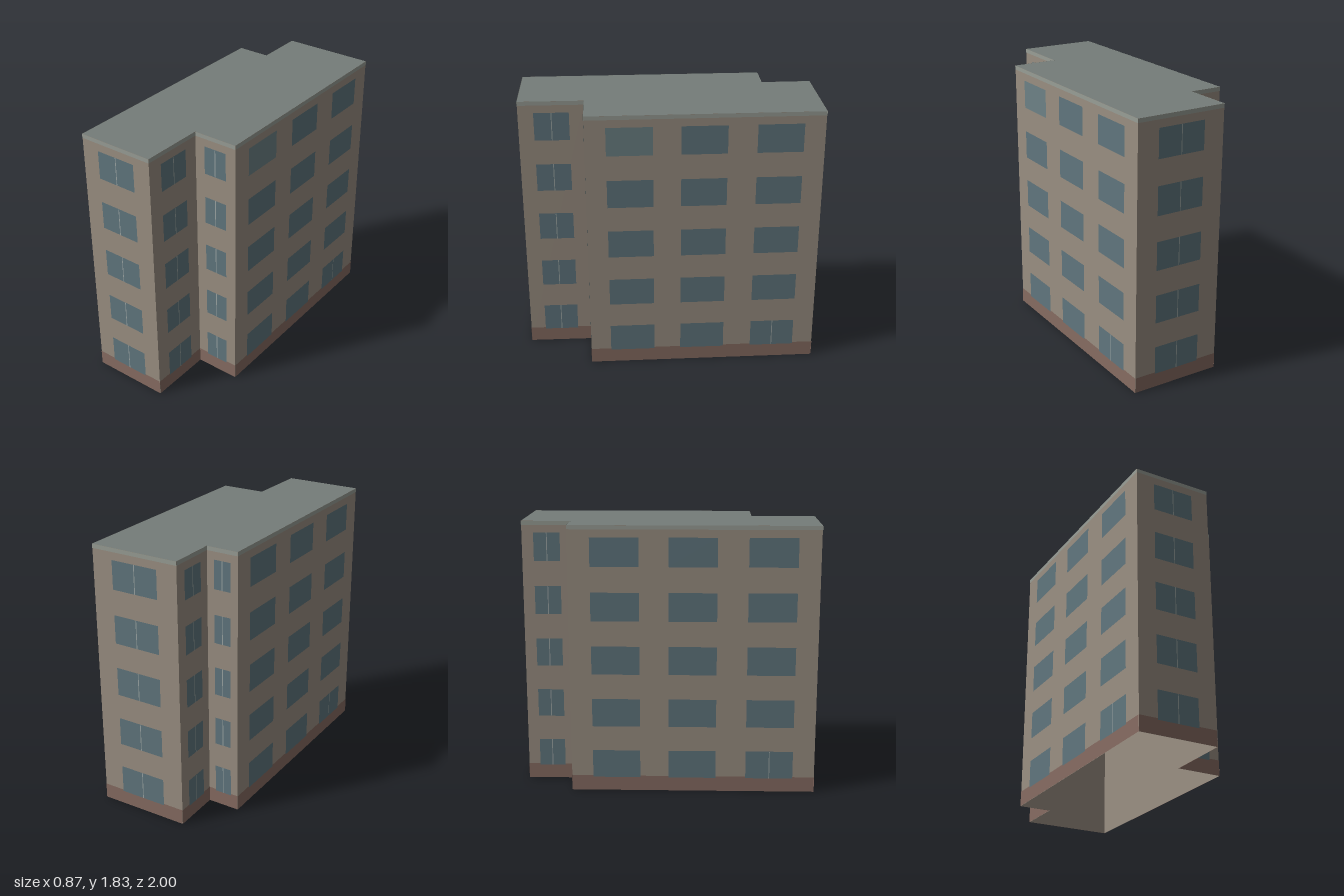
import * as THREE from 'three';

const HEIGHT = 1.83;

// Footprint corners [x, z], walked so that each wall faces outward
const CORNERS = [
  [-0.435, 0.99], [0.103, 1], [0.11, 0.56], [0.42, 0.565],
  [0.433, -0.992], [-0.195, -1], [-0.195, -0.665], [-0.419, -0.67],
];
const WALL_NAMES = [
  'frontWall', 'frontNotchSide', 'frontNotchWall', 'leftLongWall',
  'backWall', 'backNotchSide', 'backNotchWall', 'rightLongWall',
];

const mat = (color) => new THREE.MeshStandardMaterial({ color, side: THREE.DoubleSide });

export function createModel() {
  const building = new THREE.Group();
  building.name = 'apartmentBlock';

  const wallMat = mat(0x9a8f82);
  const plinthMat = mat(0x876c62);
  const trimMat = mat(0x999e96);
  const roofMat = mat(0x757d79);
  const glassMat = mat(0x60767e);
  const paleGlassMat = mat(0x6d8286);
  const mullionMat = mat(0x9ba5a4);

  // Flat panel on a wall: x along the wall, y up, lifted slightly outward
  function panel(parent, name, x0, x1, y0, y1, lift, material) {
    const mesh = new THREE.Mesh(new THREE.PlaneGeometry(x1 - x0, y1 - y0), material);
    mesh.position.set((x0 + x1) / 2, (y0 + y1) / 2, lift);
    mesh.name = name;
    parent.add(mesh);
  }

  CORNERS.forEach(([x, z], i) => {
    const [nx, nz] = CORNERS[(i + 1) % CORNERS.length];
    const length = Math.hypot(nx - x, nz - z);
    const wall = new THREE.Group();
    wall.name = WALL_NAMES[i];
    wall.position.set(x, 0, z);
    wall.rotation.y = Math.atan2(z - nz, nx - x);
    building.add(wall);

    // Wall surface, brick base and roof edge band
    panel(wall, 'wallSurface', 0, length, 0, HEIGHT, 0, wallMat);
    panel(wall, 'plinth', 0, length, 0, 0.105, 0.002, plinthMat);
    panel(wall, 'roofTrim', 0, length, 1.803, HEIGHT, 0.002, trimMat);

    // Five storeys of windows: three columns on long walls, one elsewhere
    const isLong = length > 1;
    const columns = isLong ? [[0.088, 0.283], [0.4, 0.594], [0.717, 0.911]] : [[0.235, 0.768]];
    for (let floor = 0; floor < 5; floor++) {
      const y0 = 0.095 + floor * 0.3655;
      const y1 = y0 + 0.194;
      columns.forEach(([a, b], c) => {
        const pale = i === 3 && c === 0 && floor === 4;
        panel(wall, 'window', a * length, b * length, y0, y1, 0.003, pale ? paleGlassMat : glassMat);
        // Central mullion; on long walls only the last ground-floor window has one
        if (!isLong || (c === 2 && floor === 0)) {
          const mid = ((a + b) / 2) * length;
          panel(wall, 'mullion', mid - 0.003, mid + 0.003, y0, y1, 0.004, mullionMat);
        }
      });
    }
  });

  // Flat roof over the footprint; the underside of the shell stays open
  const outline = new THREE.Shape(CORNERS.map(([x, z]) => new THREE.Vector2(x, -z)));
  const roof = new THREE.Mesh(new THREE.ShapeGeometry(outline).rotateX(-Math.PI / 2), roofMat);
  roof.position.y = HEIGHT;
  roof.name = 'roof';
  building.add(roof);

  return building;
}
